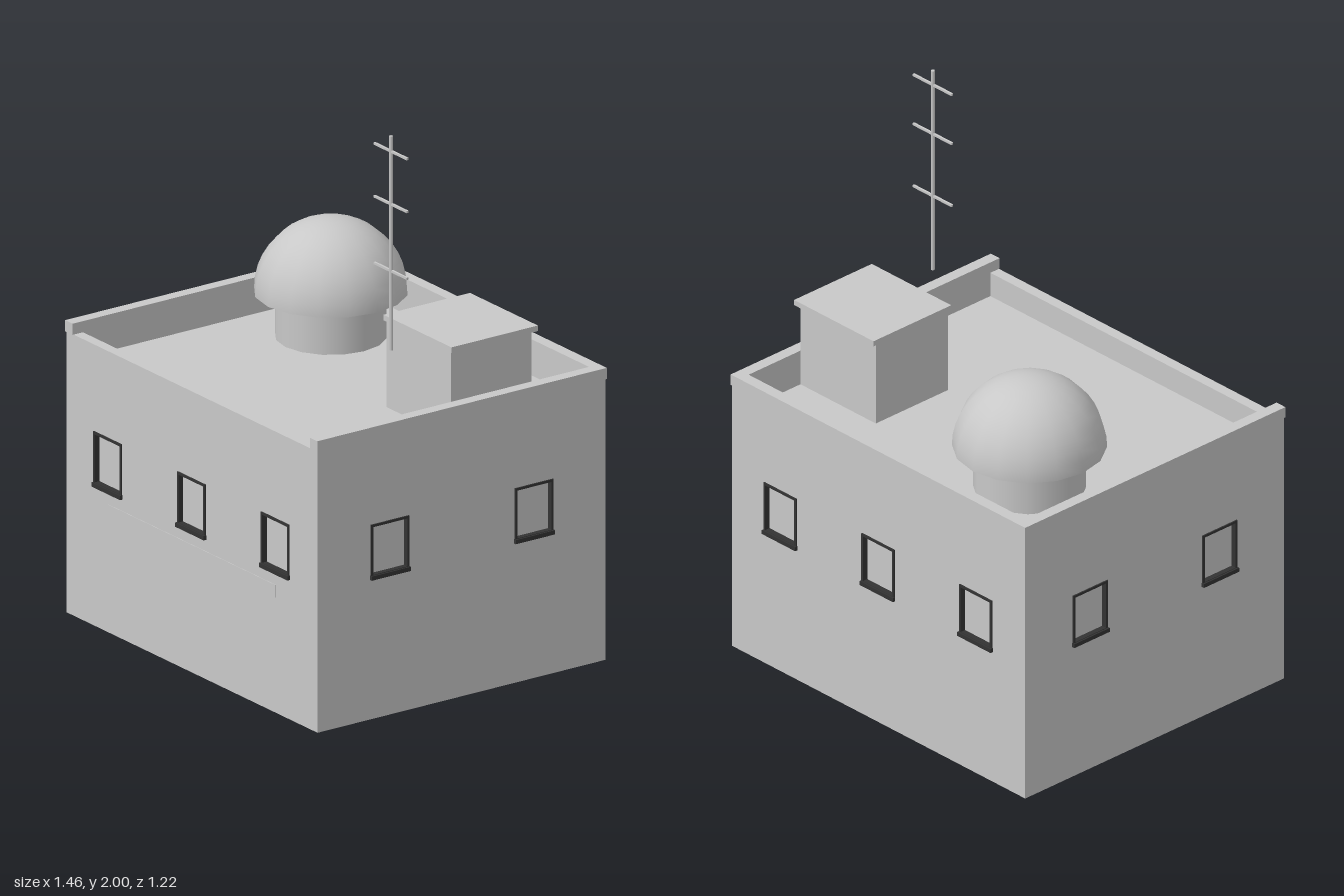
import * as THREE from 'three';

export function createModel() {
  const model = new THREE.Group();
  const plaster = new THREE.MeshStandardMaterial({ color: 0xc8c8c8, side: THREE.DoubleSide });
  plaster.name = 'grey plaster';
  const dark = new THREE.MeshStandardMaterial({ color: 0x333333 });
  dark.name = 'dark frame';

  const add = (parent, name, geometry, material, x = 0, y = 0, z = 0) => {
    const mesh = new THREE.Mesh(geometry, material);
    mesh.name = name;
    mesh.position.set(x, y, z);
    parent.add(mesh);
    return mesh;
  };
  // Box given by its lower and upper corners
  const box = (parent, name, a, b, material = plaster) => add(parent, name,
    new THREE.BoxGeometry(b[0] - a[0], b[1] - a[1], b[2] - a[2]), material,
    (a[0] + b[0]) / 2, (a[1] + b[1]) / 2, (a[2] + b[2]) / 2);
  const rect = (Type, x0, y0, x1, y1) => new Type([
    new THREE.Vector2(x0, y0), new THREE.Vector2(x1, y0),
    new THREE.Vector2(x1, y1), new THREE.Vector2(x0, y1)]);

  // Walls with window openings
  const W = 0.72, D = 0.6, wallTop = 1.01, roofY = 0.92, T = 0.04;
  const w = 0.08, y0 = 0.51, y1 = 0.7, bar = 0.009;
  const frameShape = rect(THREE.Shape, -w, y0, w, y1);
  frameShape.holes.push(rect(THREE.Path, -w + bar, y0 + bar, w - bar, y1 - bar));
  const frameGeometry = new THREE.ExtrudeGeometry(frameShape, { depth: 0.025, bevelEnabled: false });

  const wall = (name, half, distance, turn, windows) => {
    const side = new THREE.Group();
    side.name = name;
    side.rotation.y = turn;
    const shape = rect(THREE.Shape, -half, 0, half, wallTop);
    for (const x of windows) shape.holes.push(rect(THREE.Path, x - w, y0, x + w, y1));
    add(side, 'wallPanel', new THREE.ShapeGeometry(shape), plaster, 0, 0, distance);
    for (const x of windows) {
      add(side, 'windowFrame', frameGeometry, dark, x, 0, distance - 0.02);
      add(side, 'windowPane', new THREE.PlaneGeometry(2 * w, y1 - y0), plaster, x, (y0 + y1) / 2, distance - 0.015);
      box(side, 'windowSill', [x - w - 0.002, 0.502, distance - 0.015], [x + w + 0.002, 0.517, distance + 0.011], dark);
    }
    model.add(side);
    return side;
  };
  const front = wall('frontWall', W, D, 0, [-0.48, 0, 0.48]);
  wall('backWall', W, D, Math.PI, [-0.48, 0, 0.48]);
  wall('leftWall', D, W, Math.PI / 2, [-0.3, 0.3]);
  wall('rightWall', D, W, -Math.PI / 2, [-0.3, 0.3]);
  box(front, 'frontPanel', [-0.48, 0.415, D - 0.001], [0.48, 0.46, D + 0.002]);

  // Flat roof, parapet and coping; the front parapet is left lower
  const roof = add(model, 'roof', new THREE.PlaneGeometry(2 * W, 2 * D), plaster, 0, roofY, 0);
  roof.rotation.x = -Math.PI / 2;
  const inX = W - T, inZ = D - T, lip = 0.003;
  for (const s of [-1, 1]) {
    box(model, 'sideParapet', [s < 0 ? -W + 0.001 : inX, roofY, -D + 0.001], [s < 0 ? -inX : W - 0.001, wallTop, D - 0.001]);
    box(model, 'sideCoping', [s < 0 ? -W - lip : inX, wallTop, -D - lip], [s < 0 ? -inX : W + lip, 1.05, D + lip]);
    box(model, 'endParapet', [-inX, roofY, s < 0 ? -D + 0.001 : inZ], [inX, wallTop, s < 0 ? -inZ : D - 0.001]);
  }
  box(model, 'backCoping', [-inX, wallTop, -D - lip], [inX, 1.05, -inZ]);

  // Flat patches in the rear roof corners
  box(model, 'roofPatch', [-inX, roofY, -inZ], [-0.41, roofY + 0.003, -0.45]);
  box(model, 'roofPatch', [0.43, roofY, -inZ], [inX, roofY + 0.003, -0.41]);

  // Dome on a drum
  const dome = new THREE.Group();
  dome.name = 'dome';
  dome.position.set(-0.36, 0, -0.24);
  model.add(dome);
  add(dome, 'drum', new THREE.CylinderGeometry(0.19, 0.19, 1.08 - roofY, 16, 1, true), plaster, 0, (1.08 + roofY) / 2, 0);
  add(dome, 'domeShell', new THREE.SphereGeometry(0.262, 16, 10, 0, Math.PI * 2, 0, Math.PI / 2), plaster, 0, 1.08, 0);
  add(dome, 'domeUnderside', new THREE.CircleGeometry(0.262, 16), plaster, 0, 1.08, 0).rotation.x = Math.PI / 2;

  // Roof hut with a cap
  box(model, 'roofHut', [0.31, roofY, -0.32], [0.68, 1.23, 0.015]);
  box(model, 'roofHutCap', [0.3, 1.23, -0.34], [0.69, 1.25, 0.02]);

  // Antenna mast with three crossbars
  const antenna = new THREE.Group();
  antenna.name = 'antenna';
  antenna.position.set(0.547, 0, 0.168);
  model.add(antenna);
  add(antenna, 'mast', new THREE.CylinderGeometry(0.007, 0.007, 0.77, 8), plaster, 0, 1.615, 0);
  for (const y of [1.515, 1.755, 1.945])
    box(antenna, 'crossbar', [-0.095, y - 0.004, -0.004], [0.095, y + 0.004, 0.004]);

  return model;
}
